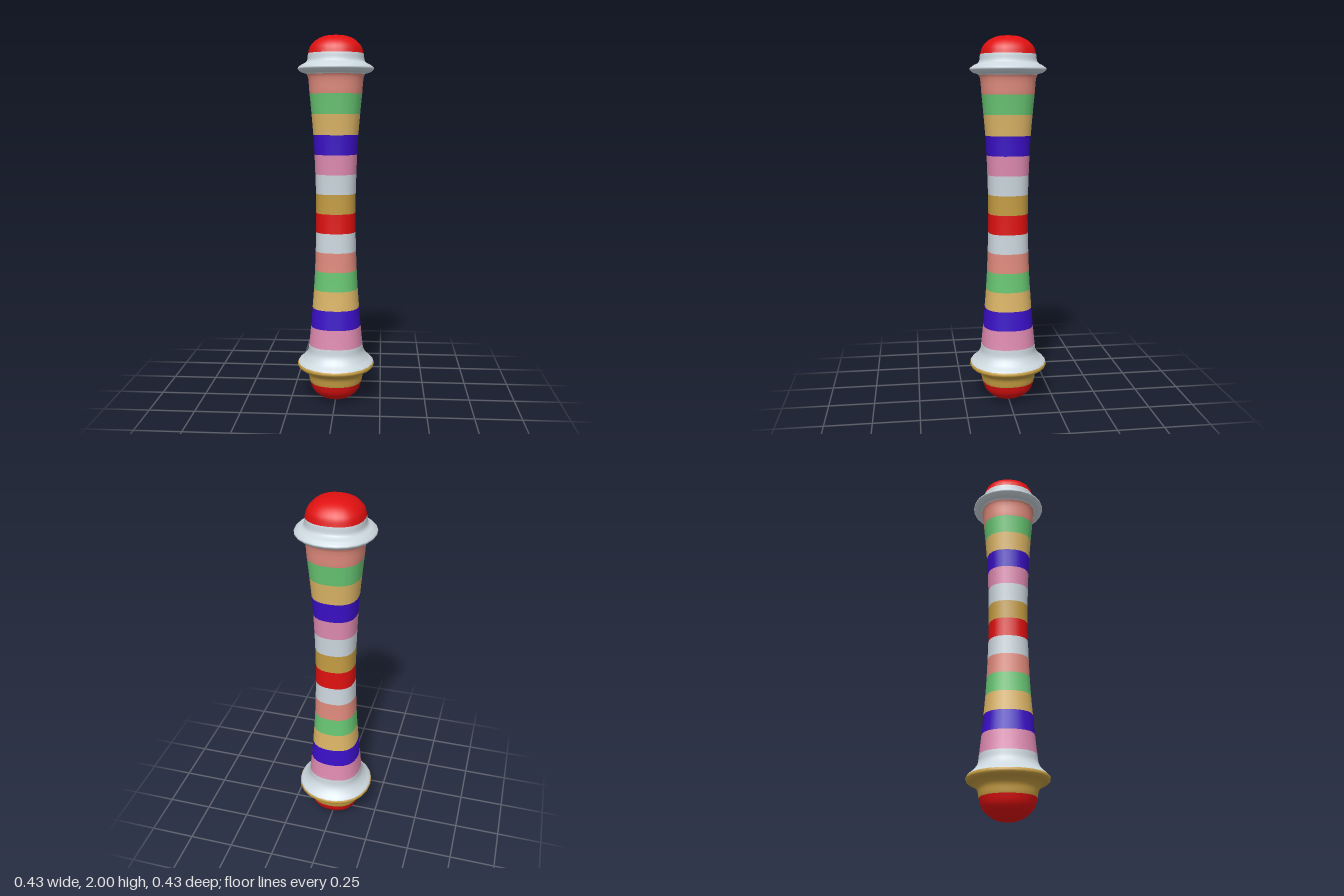
import * as THREE from 'three';

const mat = (name, color) => {
  const m = new THREE.MeshStandardMaterial({ color });
  m.name = name;
  return m;
};

// Profile knots: radius, height, squareness of the cross-section
const knots = [
  [0, 0, 0.05], [0.05, 0.006, 0.05], [0.09, 0.026, 0.05], [0.128, 0.062, 0.05], [0.146, 0.11, 0.05],
  [0.155, 0.155, 0.05], [0.175, 0.178, 0.04], [0.205, 0.192, 0.025], [0.214, 0.205, 0.02], [0.21, 0.218, 0.02],
  [0.178, 0.246, 0.035], [0.156, 0.28, 0.05], [0.149, 0.325, 0.06],
  [0.138, 0.43, 0.07], [0.129, 0.535, 0.07], [0.121, 0.64, 0.07], [0.115, 0.745, 0.07], [0.111, 0.85, 0.07],
  [0.108, 0.955, 0.07], [0.107, 1.06, 0.07], [0.108, 1.165, 0.07], [0.111, 1.27, 0.07], [0.115, 1.375, 0.07],
  [0.121, 1.48, 0.07], [0.13, 1.59, 0.07], [0.14, 1.695, 0.07], [0.153, 1.795, 0.06],
  [0.185, 1.808, 0.03], [0.203, 1.826, 0.02], [0.185, 1.844, 0.03], [0.155, 1.862, 0.045], [0.147, 1.903, 0.05],
  [0.135, 1.94, 0.05], [0.105, 1.972, 0.05], [0.06, 1.993, 0.05], [0, 2, 0.05],
];
const curve = new THREE.CatmullRomCurve3(knots.map(k => new THREE.Vector3(...k)));
const LAST = knots.length - 1;
const SIDES = 24, STEPS = 4;

// Point on the rounded-square surface at knot position s and angle a
function surface(s, a) {
  const p = curve.getPoint(THREE.MathUtils.clamp(s / LAST, 0, 1));
  const r = p.x * (1 + p.z * Math.sin(2 * a) ** 2);
  return new THREE.Vector3(r * Math.sin(a), p.y, r * Math.cos(a));
}

// Band of the surface between two knots, with continuous smooth normals
function band(from, to) {
  const pos = [], nor = [], idx = [], rows = (to - from) * STEPS, e = 0.01;
  for (let i = 0; i <= rows; i++) {
    const s = from + i / STEPS;
    for (let j = 0; j <= SIDES; j++) {
      const a = j / SIDES * Math.PI * 2;
      const n = new THREE.Vector3();
      if (s === 0) n.set(0, -1, 0);
      else if (s === LAST) n.set(0, 1, 0);
      else {
        const du = surface(s + e, a).sub(surface(s - e, a));
        const da = surface(s, a + e).sub(surface(s, a - e));
        n.crossVectors(du, da).normalize().negate();
      }
      pos.push(...surface(s, a).toArray());
      nor.push(...n.toArray());
      if (i < rows && j < SIDES) {
        const k = i * (SIDES + 1) + j, up = k + SIDES + 1;
        idx.push(k, k + 1, up, k + 1, up + 1, up);
      }
    }
  }
  const g = new THREE.BufferGeometry();
  g.setAttribute('position', new THREE.Float32BufferAttribute(pos, 3));
  g.setAttribute('normal', new THREE.Float32BufferAttribute(nor, 3));
  g.setIndex(idx);
  return g;
}

export function createModel() {
  const red = mat('red', 0xe01010), gold = mat('gold', 0xc49c42), white = mat('paleGrey', 0xccd7de);
  const pink = mat('pink', 0xde8ab0), blue = mat('blue', 0x3a0fc6), tan = mat('tan', 0xdcb566);
  const green = mat('green', 0x68c673), salmon = mat('salmon', 0xdf8a7c);

  const model = new THREE.Group();
  model.name = 'stripedBaton';
  const add = (parent, name, from, to, material) => {
    const m = new THREE.Mesh(band(from, to), material);
    m.name = name;
    parent.add(m);
  };

  // Lower end: knob, collar and flared rim
  add(model, 'bottomKnob', 0, 4, red);
  add(model, 'bottomCollar', 4, 9, gold);
  add(model, 'bottomRim', 9, 12, white);

  // Striped grip, bottom to top
  const grip = new THREE.Group();
  grip.name = 'grip';
  const stripes = [pink, blue, tan, green, salmon, white, red, gold, white, pink, blue, tan, green, salmon];
  stripes.forEach((m, i) => add(grip, 'stripe' + (i + 1), 12 + i, 13 + i, m));
  model.add(grip);

  // Upper end: rim and knob
  add(model, 'topRim', 26, 31, white);
  add(model, 'topKnob', 31, LAST, red);
  return model;
}
// Normals: profile runs upward and angles run from +z towards +x
